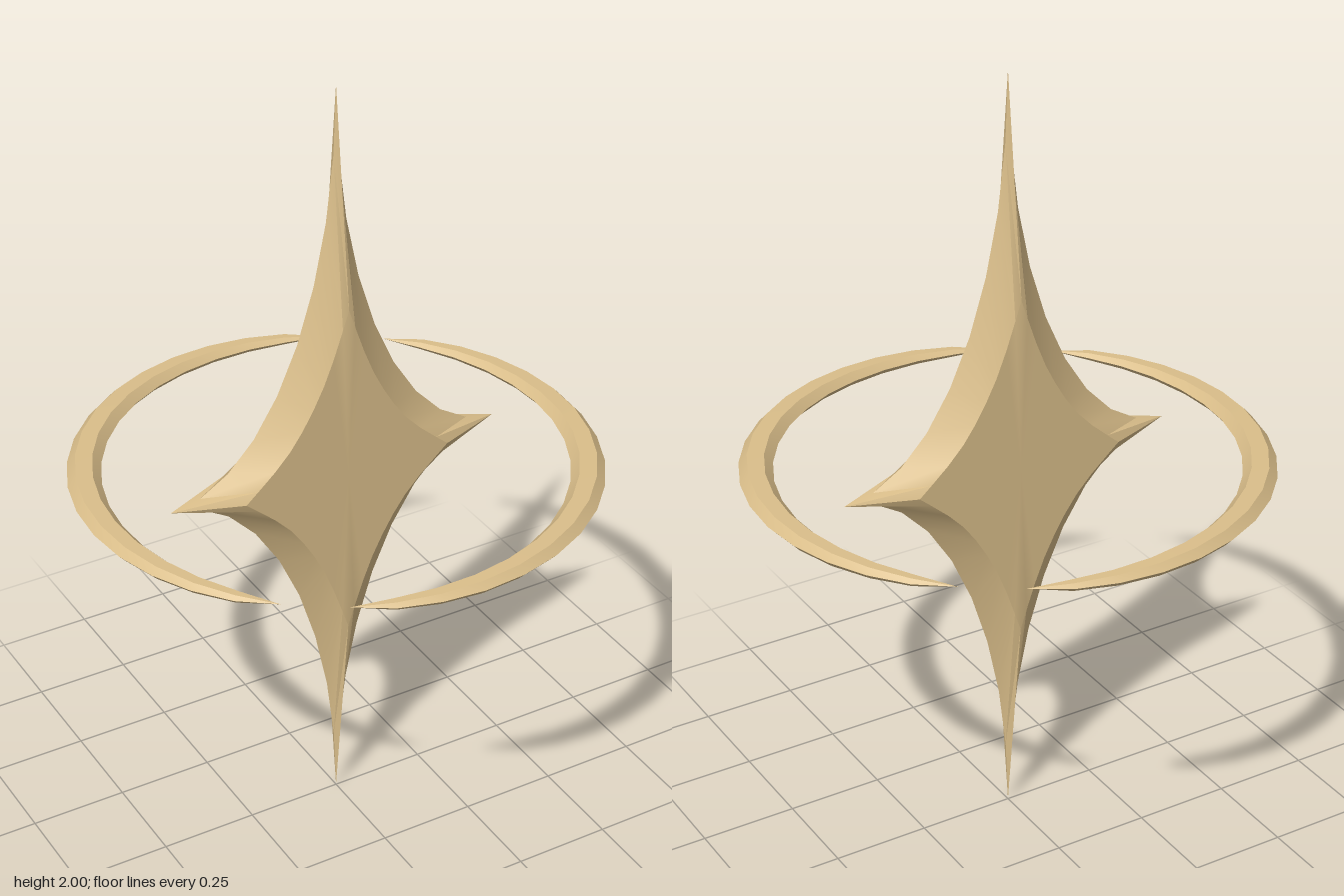
import * as THREE from 'three';
import { toCreasedNormals } from 'three/addons/utils/BufferGeometryUtils.js';

const V = (x, y, z) => new THREE.Vector3(x, y, z);

// Geometry from a list of triangles, dropping the collapsed ones at the tips
function fromTriangles(tris) {
  const points = tris.filter((t) => new THREE.Triangle(...t).getArea() > 1e-8).flat();
  const geometry = new THREE.BufferGeometry().setFromPoints(points);
  return toCreasedNormals(geometry, 0.5);
}

// Four-pointed star: flat faces front and back, bevelled down to a sharp concave rim
function starGeometry() {
  const steps = 9, depth = 0.061;
  const rim = [], face = [];
  const faceCurve = new THREE.SplineCurve(
    [[0, 0.45], [0.068, 0.264], [0.16, 0.112], [0.28, 0]].map((p) => new THREE.Vector2(...p)));
  for (let i = 0; i <= steps; i++) {
    const t = (i / steps) * Math.PI / 2;
    rim.push(V(0.45 * (1 - Math.cos(t)), 1 - Math.sin(t), 0));
    const p = faceCurve.getPoint(i / steps);
    face.push(V(p.x, p.y, depth));
  }
  // One eighth of the star
  const eighth = [];
  for (let i = 0; i < steps; i++) {
    eighth.push([V(0, 0, depth), face[i + 1], face[i]]);
    eighth.push([rim[i], face[i], rim[i + 1]]);
    eighth.push([face[i], face[i + 1], rim[i + 1]]);
  }
  // Mirror it in all three directions
  const tris = [];
  for (const sx of [1, -1]) for (const sy of [1, -1]) for (const sz of [1, -1]) {
    for (const tri of eighth) {
      const t = tri.map((p) => V(p.x * sx, 1 + p.y * sy, p.z * sz));
      tris.push(sx * sy * sz > 0 ? t : t.reverse());
    }
  }
  return fromTriangles(tris);
}

// Crescent arc: a hexagonal section swept round the star, tapering to both tips
function crescentGeometry() {
  const steps = 17, radius = 0.611;
  const start = THREE.MathUtils.degToRad(131.7), span = THREE.MathUtils.degToRad(165.5);
  const section = [[0.042, 0], [0.021, 0.023], [-0.021, 0.023],
    [-0.042, 0], [-0.021, -0.023], [0.021, -0.023]];
  const point = (i, k) => {
    const u = i / steps, a = start + span * u;
    const size = Math.sqrt(Math.max(0, Math.sin(Math.PI * u)));
    const [dr, dy] = section[k % 6];
    const r = radius + dr * size;
    return V(r * Math.cos(a), 1.002 + dy * size, r * Math.sin(a));
  };
  const tris = [];
  for (let i = 0; i < steps; i++) for (let k = 0; k < 6; k++) {
    tris.push([point(i, k), point(i, k + 1), point(i + 1, k + 1)]);
    tris.push([point(i, k), point(i + 1, k + 1), point(i + 1, k)]);
  }
  return fromTriangles(tris);
}

export function createModel() {
  const model = new THREE.Group();
  model.name = 'starWithRing';
  const gold = new THREE.MeshStandardMaterial({ color: 0xdabe8a });
  gold.name = 'paleGold';

  const star = new THREE.Mesh(starGeometry(), gold);
  star.name = 'star';
  model.add(star);

  // Two matching arcs, half a turn apart
  const arc = crescentGeometry();
  ['rightRingArc', 'leftRingArc'].forEach((name, i) => {
    const mesh = new THREE.Mesh(arc, gold);
    mesh.name = name;
    mesh.rotation.y = i * Math.PI;
    model.add(mesh);
  });
  return model;
}
